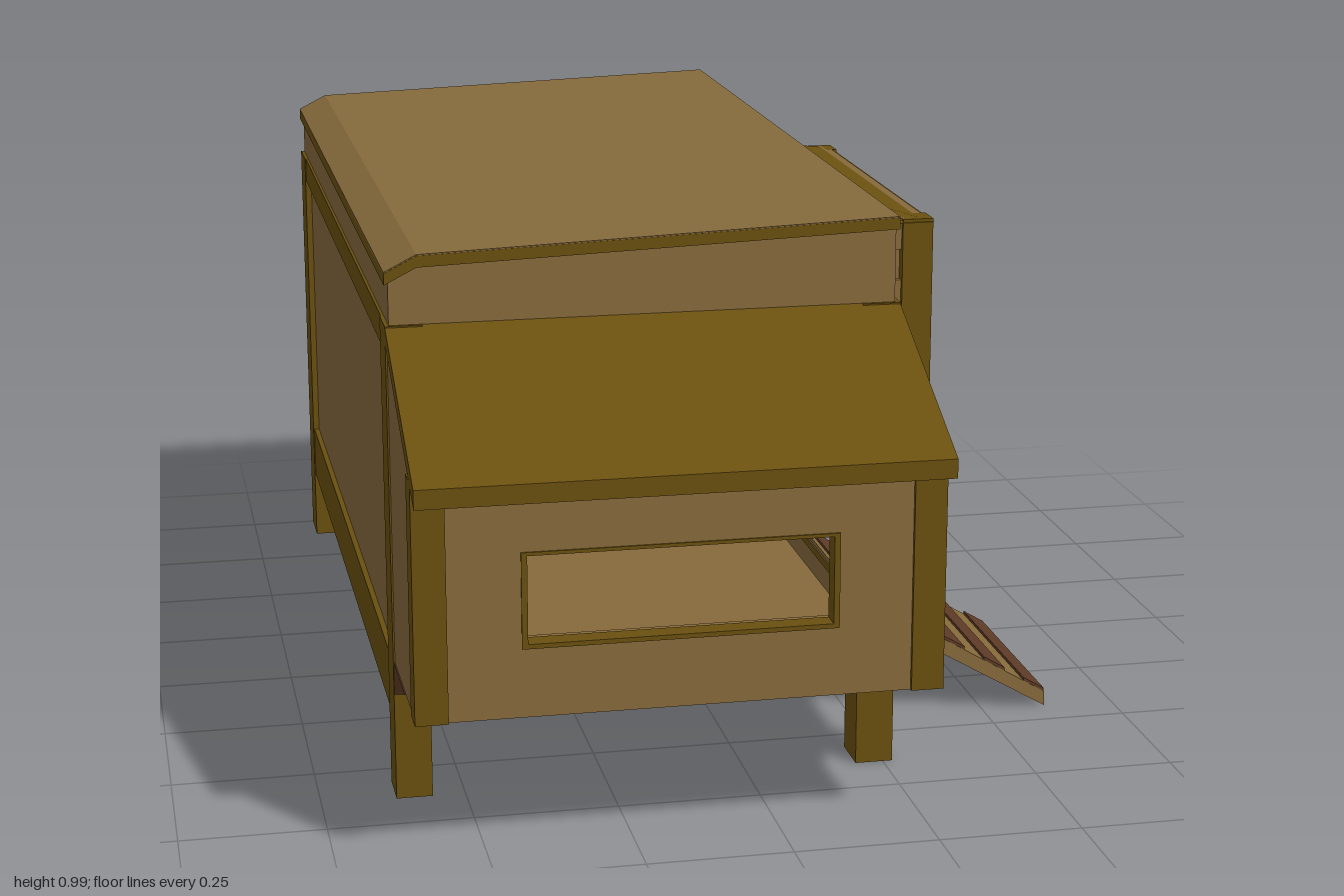
import * as THREE from 'three';

const mat = (color) => new THREE.MeshStandardMaterial({ color });

export function createModel() {
  const coop = new THREE.Group();
  coop.name = 'henHouse';
  const tan = mat(0x866a3c), olive = mat(0x6a5010), brown = mat(0x5c3b26);

  const add = (name, geo, m, parent = coop) => {
    const mesh = new THREE.Mesh(geo, m);
    mesh.name = name;
    parent.add(mesh);
    return mesh;
  };
  const group = (name) => {
    const g = new THREE.Group();
    g.name = name;
    coop.add(g);
    return g;
  };
  // Box given by its limits on each axis
  const box = (name, m, x0, x1, y0, y1, z0, z1, parent) => {
    const geo = new THREE.BoxGeometry(x1 - x0, y1 - y0, z1 - z0);
    geo.translate((x0 + x1) / 2, (y0 + y1) / 2, (z0 + z1) / 2);
    return add(name, geo, m, parent);
  };
  const rect = (a0, a1, b0, b1) => [[a0, b0], [a1, b0], [a1, b1], [a0, b1]];
  const extrude = (pts, depth, holes = []) => {
    const v = (p) => p.map(([a, b]) => new THREE.Vector2(a, b));
    const shape = new THREE.Shape(v(pts));
    holes.forEach((h) => shape.holes.push(new THREE.Path(v(h))));
    return new THREE.ExtrudeGeometry(shape, { depth, bevelEnabled: false });
  };
  // Outline in (x, y), spanning z0..z1
  const alongZ = (name, m, pts, z0, z1, holes, parent) =>
    add(name, extrude(pts, z1 - z0, holes).translate(0, 0, z0), m, parent);
  // Outline in (z, y), spanning x0..x1
  const alongX = (name, m, pts, x0, x1, holes = [], parent) => {
    const flip = (p) => p.map(([z, y]) => [-z, y]);
    const geo = extrude(flip(pts), x1 - x0, holes.map(flip));
    return add(name, geo.rotateY(Math.PI / 2).translate(x0, 0, 0), m, parent);
  };

  // ---- Main house ----
  const house = group('mainHouse');
  box('floor', tan, -0.61, 0.255, 0.14, 0.19, -0.985, 0.61, house);
  box('raisedFloor', tan, -0.6, 0.245, 0.19, 0.25, -0.98, -0.2, house);
  alongX('doorWall', tan, rect(-0.997, 0.62, 0.135, 0.84), 0.245, 0.264,
    [rect(0.03, 0.43, 0.25, 0.72), rect(-0.93, -0.24, 0.27, 0.79)], house);
  box('plainSideWall', tan, -0.608, -0.59, 0.14, 0.84, -0.98, 0.62, house);
  box('backWall', tan, -0.6, 0.25, 0.14, 0.84, -0.988, -0.97, house);
  alongZ('frontWall', tan, rect(-0.6, 0.25, 0.16, 0.84), 0.61, 0.628,
    [rect(-0.55, 0.2, 0.25, 0.78)], house);

  // Corner posts, standing on the ground
  for (const [x0, x1] of [[-0.62, -0.557], [0.2, 0.267]]) {
    box('frontPost', olive, x0, x1, 0, 0.84, 0.56, 0.64, house);
    box('backPost', olive, x0, Math.min(x1, 0.262), 0, 0.84, -1, -0.905, house);
  }
  // Rails between the posts
  box('frontBottomRail', olive, -0.56, 0.2, 0.137, 0.19, 0.57, 0.635, house);
  box('frontTopRail', olive, -0.56, 0.2, 0.79, 0.84, 0.58, 0.635, house);
  box('backTopRail', olive, -0.56, 0.2, 0.8, 0.84, -0.998, -0.95, house);
  box('doorSideTopRail', olive, 0.235, 0.267, 0.81, 0.84, -0.99, 0.56, house);
  box('sideBottomRail', olive, -0.618, -0.58, 0.137, 0.24, -0.91, 0.56, house);
  box('sideTopRail', olive, -0.618, -0.58, 0.79, 0.84, -0.91, 0.56, house);

  // Door trim
  alongX('doorTrim', olive, rect(0.023, 0.437, 0.243, 0.727), 0.235, 0.267,
    [rect(0.038, 0.422, 0.258, 0.715)], house);

  // Upper walls under the slanted roof
  const gable = [[-0.613, 0.835], [0.258, 0.835], [0.258, 0.975], [-0.565, 0.945], [-0.613, 0.92]];
  alongZ('upperWalls', tan, gable, -0.993, 0.633, [], house);

  // Roof with an olive edge and a tan covering
  const slope = [[-0.62, 0.93], [-0.565, 0.958], [0.263, 0.988]];
  const slab = (drop, lift) => [
    ...slope.map(([x, y]) => [x, y - drop]),
    ...slope.map(([x, y]) => [x, y + lift]).reverse()];
  alongZ('roofBoard', olive, slab(0.02, 0), -1, 0.64, [], house);
  alongZ('roofCovering', tan, slab(0.002, 0.002), -0.999, 0.639, [], house);

  // ---- Nest box on the front ----
  const nest = group('nestBox');
  box('nestFloor', tan, -0.615, 0.26, 0.25, 0.268, 0.6, 0.94, nest);
  const cheek = [[0.63, 0.25], [0.94, 0.25], [0.94, 0.668], [0.63, 0.818]];
  alongX('leftCheek', tan, cheek, 0.243, 0.262, [], nest);
  alongX('rightCheek', tan, cheek, -0.617, -0.598, [], nest);
  const opening = rect(-0.443, 0.086, 0.368, 0.532);
  alongZ('nestFront', tan, rect(-0.6, 0.245, 0.25, 0.66), 0.925, 0.943, [opening], nest);
  alongZ('windowTrim', olive, opening, 0.91, 0.946, [rect(-0.433, 0.076, 0.376, 0.526)], nest);
  for (const x of [-0.62, 0.21]) box('nestPost', olive, x, x + 0.055, 0.25, 0.66, 0.895, 0.95, nest);
  alongX('nestRoof', olive, [[0.635, 0.81], [1, 0.63], [1, 0.663], [0.635, 0.84]], -0.62, 0.266, [], nest);
  for (const x of [-0.619, 0.037]) {
    alongX('nestBracket', brown, [[0.635, 0.19], [0.8, 0.25], [0.635, 0.25]], x, x + 0.228, [], nest);
  }

  // ---- Side annex ----
  const annex = group('sideAnnex');
  const win = rect(-0.69, -0.47, 0.31, 0.745);
  box('annexFloor', tan, 0.255, 0.55, 0.25, 0.27, -0.985, -0.19, annex);
  alongX('annexSideWall', tan, rect(-0.985, -0.19, 0.25, 0.81), 0.525, 0.54, [win], annex);
  box('annexFrontWall', tan, 0.264, 0.53, 0.25, 0.81, -0.21, -0.195, annex);
  box('annexBackWall', tan, 0.26, 0.53, 0.25, 0.81, -0.98, -0.965, annex);
  for (const z of [-0.23, -1]) box('annexPost', olive, 0.5, 0.562, 0.25, 0.81, z, z + 0.058, annex);

  // Alternating raised planks, cut at the window
  for (let i = 0; i < 5; i++) {
    const y0 = 0.25 + i * 0.1245, y1 = y0 + 0.062;
    box('frontPlank', tan, 0.264, 0.505, y0, y1, -0.2, -0.181, annex);
    box('backPlank', tan, 0.264, 0.505, y0, y1, -0.993, -0.975, annex);
    const spans = i === 0 || i === 4 ? [[-0.95, -0.22]] : [[-0.95, -0.69], [-0.47, -0.22]];
    for (const [z0, z1] of spans) box('sidePlank', tan, 0.53, 0.552, y0, y1, z0, z1, annex);
  }

  // Hipped roof: pull in the upper corners of a box
  const hip = new THREE.BoxGeometry(1, 1, 1);
  const p = hip.attributes.position;
  for (let i = 0; i < p.count; i++) {
    const top = p.getY(i) > 0, out = p.getX(i) > 0, front = p.getZ(i) > 0;
    p.setXYZ(i, out ? (top ? 0.41 : 0.564) : 0.26, top ? 0.84 : 0.803,
      front ? (top ? -0.28 : -0.17) : (top ? -0.89 : -1));
  }
  hip.computeVertexNormals();
  add('annexRoof', hip, olive, annex);

  for (const z of [-0.4, -0.995]) {
    alongZ('annexBracket', brown, [[0.26, 0.2], [0.34, 0.25], [0.26, 0.25]], z, z + 0.23, [], annex);
  }

  // ---- Entrance ramp with cleats ----
  const ramp = group('ramp');
  const top = (x) => 0.238 - (x - 0.265) * 0.594;
  alongZ('rampBoard', tan,
    [[0.255, 0.212], [0.62, 0], [0.62, top(0.62)], [0.255, top(0.255)]], 0.04, 0.43, [], ramp);
  for (let i = 0; i < 5; i++) {
    const a = 0.267 + i * 0.078, b = a + 0.04;
    alongZ('cleat', brown, [[a, top(a) - 0.004], [b, top(b) - 0.004], [b, top(b) + 0.006], [a, top(a) + 0.006]],
      0.041, 0.429, [], ramp);
  }
  return coop;
}
